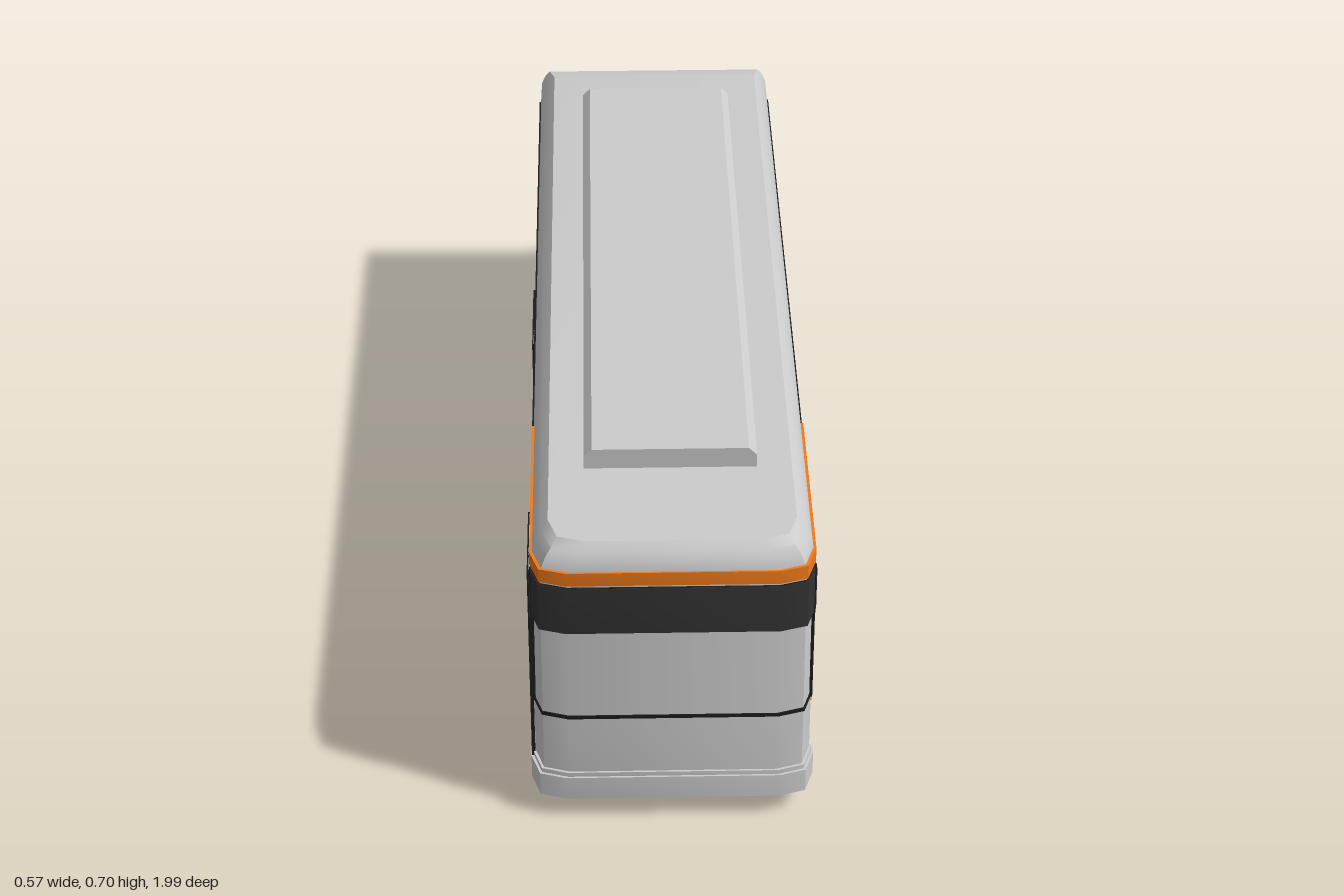
import * as THREE from 'three';
import { toCreasedNormals } from 'three/addons/utils/BufferGeometryUtils.js';

const paint = (color) => new THREE.MeshStandardMaterial({ color });
const grey = paint(0xcccccc), black = paint(0x1c1c1c), dark = paint(0x333333), orange = paint(0xf07a1a);
const W = 0.274;                    // half width of the body
const AXLES = [0.59, -0.405];       // z of the wheels
const DOORS = [[0.725, 0.915, 4], [-0.11, 0.105, 2]]; // z from, z to, leaves

function add(parent, name, geometry, material) {
  const mesh = new THREE.Mesh(geometry, material);
  mesh.name = name;
  parent.add(mesh);
  return mesh;
}

// Box given by its limits
function box(parent, name, mat, x0, x1, y0, y1, z0, z1) {
  const m = add(parent, name, new THREE.BoxGeometry(x1 - x0, y1 - y0, z1 - z0), mat);
  m.position.set((x0 + x1) / 2, (y0 + y1) / 2, (z0 + z1) / 2);
  return m;
}

// Plan outline [x, z] with a chamfered, gently bowed front
function plan(w, front, back) {
  const half = [[w, back], [w, front - 0.075], [w - 0.018, front - 0.02], [w - 0.07, front - 0.004]];
  return [...half, ...half.slice().reverse().map(([x, z]) => [-x, z])];
}

// Horizontal slab with the plan outline of the bus front
function noseSlab(parent, name, mat, grow, back, y0, y1) {
  const shape = new THREE.Shape(plan(W + grow, 0.988 + grow, back).map(([x, z]) => new THREE.Vector2(x, -z)));
  const g = new THREE.ExtrudeGeometry(shape, { depth: y1 - y0, bevelEnabled: false });
  g.rotateX(-Math.PI / 2).translate(0, y0, 0);
  return add(parent, name, toCreasedNormals(g, 0.4), mat);
}

// Side-view shape (drawn with x = -z) pulled across the bus from x0 to x1
function acrossBus(shape, x0, x1) {
  const g = new THREE.ExtrudeGeometry(shape, { depth: x1 - x0, bevelEnabled: false, curveSegments: 24 });
  return g.rotateY(Math.PI / 2).translate(x0, 0, 0);
}

const outline = (pts) => pts.map(([z, y]) => new THREE.Vector2(-z, y));

// Upper shell: plan outlines stacked up to the rounded roof
function upperShell() {
  const rings = [
    [0.225, W, 0.988, -0.998], [0.57, W - 0.001, 0.988, -0.998], [0.605, W - 0.004, 0.986, -0.997],
    [0.625, W - 0.012, 0.98, -0.994], [0.642, W - 0.023, 0.971, -0.985], [0.656, W - 0.035, 0.955, -0.93],
  ].map(([y, w, f, b]) => plan(w, f, b).map(([x, z]) => [x, y, z]));
  const v = [], n = rings[0].length;
  for (let r = 0; r + 1 < rings.length; r++) {
    for (let i = 0; i < n; i++) {
      const j = (i + 1) % n, a = rings[r], b = rings[r + 1];
      v.push(...a[i], ...b[i], ...a[j], ...a[j], ...b[i], ...b[j]);
    }
  }
  const top = rings.at(-1);
  for (let i = 1; i + 1 < n; i++) v.push(...top[0], ...top[i + 1], ...top[i]);
  const g = new THREE.BufferGeometry();
  g.setAttribute('position', new THREE.Float32BufferAttribute(v, 3));
  return toCreasedNormals(g, 0.6);
}

// Lower body with wheel arches and the rising tail
function lowerBody() {
  const s = new THREE.Shape();
  s.moveTo(-0.912, 0.232);
  s.lineTo(-0.912, 0.055);
  for (const z of AXLES) {
    s.lineTo(-z - 0.106, 0.055);
    s.lineTo(-z - 0.106, 0.1);
    s.absarc(-z, 0.1, 0.106, Math.PI, 0, true);
    s.lineTo(-z + 0.106, 0.055);
  }
  outline([[-0.86, 0.055], [-0.975, 0.092], [-0.998, 0.115], [-0.998, 0.232]]).forEach((p) => s.lineTo(p.x, p.y));
  return toCreasedNormals(acrossBus(s, -W, W), 0.4);
}

// Raised lip around a wheel arch
function fender(z) {
  const s = new THREE.Shape();
  s.moveTo(-z - 0.12, 0.055);
  s.lineTo(-z - 0.12, 0.1);
  s.absarc(-z, 0.1, 0.12, Math.PI, 0, true);
  s.lineTo(-z + 0.12, 0.055);
  s.lineTo(-z + 0.104, 0.055);
  s.lineTo(-z + 0.104, 0.1);
  s.absarc(-z, 0.1, 0.104, 0, Math.PI, false);
  s.lineTo(-z - 0.104, 0.055);
  return toCreasedNormals(acrossBus(s, 0.245, 0.284), 0.4);
}

// Black window frame with one opening per pane
function windowFrame() {
  const s = new THREE.Shape(outline([[0.713, 0.57], [0.713, 0.3], [-0.874, 0.3], [-0.926, 0.405], [-0.966, 0.405], [-0.966, 0.57]]));
  const posts = [0.713, 0.475, 0.105, -0.11, -0.28, -0.54, -0.79];
  posts.forEach((z, i) => {
    const a = z - 0.008, last = i === posts.length - 1, b = last ? -0.917 : posts[i + 1] + 0.008;
    const pts = last
      ? [[a, 0.515], [a, 0.304], [-0.871, 0.304], [b, 0.4], [b, 0.515]]
      : [[a, 0.515], [a, 0.304], [b, 0.304], [b, 0.515]];
    s.holes.push(new THREE.Path(outline(pts)));
  });
  return acrossBus(s, W - 0.005, W + 0.0025);
}

function makeWheel() {
  const wheel = new THREE.Group();
  const lathe = (pts) => toCreasedNormals(
    new THREE.LatheGeometry(pts.map((p) => new THREE.Vector2(...p)), 40).rotateZ(-Math.PI / 2), 0.6);
  add(wheel, 'tyre', lathe([[0, -0.014], [0.088, -0.014], [0.097, -0.007], [0.097, 0.007], [0.09, 0.014], [0.073, 0.014], [0.073, 0.004]]), black);
  add(wheel, 'rim', lathe([[0.074, 0.004], [0.074, 0.0145], [0.067, 0.0145], [0.061, 0.007], [0.038, 0.007], [0.036, 0.016], [0.027, 0.016], [0.025, 0.012], [0, 0.012]]), grey);
  return wheel;
}

// Folding door on the right side
function makeDoor([z0, z1, leaves]) {
  const door = new THREE.Group();
  door.name = 'door';
  box(door, 'doorPanel', grey, -W - 0.004, -W + 0.01, 0.075, 0.56, z0, z1);
  const bar = (y0, y1, a, b) => box(door, 'doorFrame', black, -W - 0.007, -W, y0, y1, a, b);
  const leaf = (z1 - z0) / leaves;
  for (let i = 0; i <= leaves; i++) {
    const z = z0 + i * leaf, t = i % leaves ? 0.007 : 0.005;
    bar(0.075, 0.56, z - t, z + t);
  }
  for (const [y, t] of [[0.082, 0.006], [0.27, 0.004], [0.3, 0.004], [0.5, 0.004], [0.548, 0.012]]) bar(y - t, y + t, z0, z1);
  return door;
}

export function createModel() {
  const bus = new THREE.Group();
  bus.name = 'bus';

  // Body
  add(bus, 'upperBody', upperShell(), grey);
  add(bus, 'lowerBody', lowerBody(), grey);
  noseSlab(bus, 'frontPanel', grey, 0, 0.9, 0.055, 0.23);
  noseSlab(bus, 'frontBumper', grey, 0.008, 0.905, 0.052, 0.105);
  noseSlab(bus, 'bumperTop', grey, 0.004, 0.91, 0.105, 0.115);

  // Front trim
  noseSlab(bus, 'destinationPanel', dark, 0.003, 0.935, 0.462, 0.57);
  noseSlab(bus, 'windscreenSill', black, 0.002, 0.915, 0.25, 0.258);
  noseSlab(bus, 'windscreenHeader', black, 0.002, 0.915, 0.564, 0.571);

  // Orange stripes
  noseSlab(bus, 'upperStripe', orange, 0.0015, 0.485, 0.575, 0.605);
  box(bus, 'lowerStripe', orange, -W - 0.0015, W + 0.0015, 0.23, 0.268, -1, 0.912);

  // Roof unit with chamfered long edges
  const pod = new THREE.Shape([[-0.17, 0.65], [0.17, 0.65], [0.17, 0.684], [0.154, 0.7], [-0.154, 0.7], [-0.17, 0.684]]
    .map((p) => new THREE.Vector2(...p)));
  add(bus, 'roofUnit', new THREE.ExtrudeGeometry(pod, { depth: 1.495, bevelEnabled: false }).translate(0, 0, -0.785), grey);

  // Both sides: windows, pillars, arches and wheels
  for (const side of [1, -1]) {
    const flank = new THREE.Group();
    flank.name = side > 0 ? 'leftSide' : 'rightSide';
    if (side < 0) flank.scale.x = -1;
    add(flank, 'windowFrame', windowFrame(), black);
    box(flank, 'frontPillar', black, W - 0.005, W + 0.002, 0.25, 0.57, 0.913, 0.925);
    for (const z of AXLES) {
      add(flank, 'wheelArch', fender(z), grey);
      const wheel = makeWheel();
      wheel.name = 'wheel';
      wheel.position.set(0.264, 0.097, z);
      flank.add(wheel);
    }
    bus.add(flank);
  }

  DOORS.forEach((d) => bus.add(makeDoor(d)));
  return bus;
}
